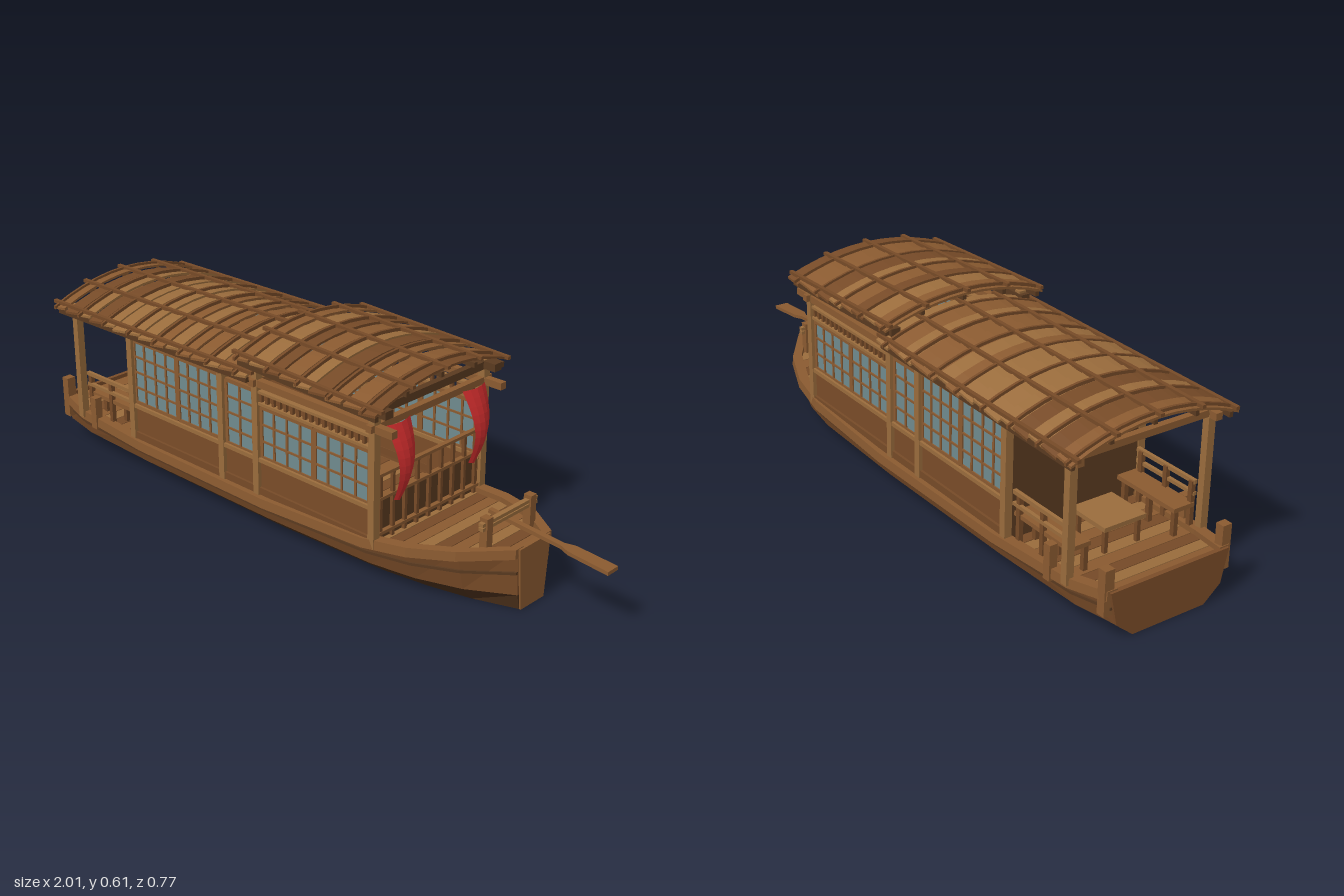
import * as THREE from 'three';

const mat = (color) => new THREE.MeshStandardMaterial({ color, flatShading: true, side: THREE.DoubleSide });
const WOOD = mat(0x8a5a30), DARK = mat(0x5a3a20), LIGHT = mat(0x9a6c3c), MID = mat(0x764a27);
const HULL = mat(0x7a4c28), KEEL = mat(0x4a2f1a), GLASS = mat(0x6f8a8e), RED = mat(0xc52a2a);
const SHADES = [WOOD, LIGHT, MID];

// small seeded random for hand-cut boards
let seed = 7;
const rnd = () => (seed = (seed * 16807) % 2147483647) / 2147483647;

// hull stations: u, half width at top, chine and bottom, sheer height
const STATIONS = [
  [-0.975, 0.195, 0.175, 0.12, 0.15], [-0.85, 0.222, 0.2, 0.14, 0.135], [-0.55, 0.238, 0.212, 0.155, 0.125],
  [0, 0.243, 0.215, 0.16, 0.125], [0.38, 0.234, 0.203, 0.145, 0.14], [0.52, 0.212, 0.18, 0.125, 0.155],
  [0.65, 0.162, 0.135, 0.095, 0.172], [0.775, 0.068, 0.06, 0.05, 0.188],
];
function station(u) {
  let i = 0;
  while (i < STATIONS.length - 2 && u > STATIONS[i + 1][0]) i++;
  const a = STATIONS[i], b = STATIONS[i + 1];
  const t = THREE.MathUtils.clamp((u - a[0]) / (b[0] - a[0]), 0, 1);
  return a.map((v, k) => v + (b[k] - v) * t);
}

// skin between cross-sections; closed rings get end caps
function loft(rings, closed = true) {
  const p = [], n = rings[0].length, tri = (...c) => c.forEach((q) => p.push(...q));
  for (let i = 0; i < rings.length - 1; i++) {
    for (let j = 0; j < (closed ? n : n - 1); j++) {
      const k = (j + 1) % n, a = rings[i], b = rings[i + 1];
      tri(a[j], a[k], b[k]);
      tri(a[j], b[k], b[j]);
    }
  }
  for (const r of [rings[0], [...rings[rings.length - 1]].reverse()])
    for (let j = 1; j < n - 1; j++) tri(r[0], r[j + 1], r[j]);
  const g = new THREE.BufferGeometry();
  g.setAttribute('position', new THREE.Float32BufferAttribute(p, 3));
  g.computeVertexNormals();
  return g;
}

export function createModel() {
  const model = new THREE.Group(), boat = new THREE.Group();
  boat.name = 'riverBoat';
  boat.position.set(-0.0066, 0, 0.0394);
  boat.rotation.y = -0.166;
  model.add(boat);

  const add = (name, geo, m) => {
    const mesh = new THREE.Mesh(geo, m);
    mesh.name = name;
    boat.add(mesh);
    return mesh;
  };
  const box = (name, u0, u1, y0, y1, z0, z1, m = WOOD) => {
    const b = add(name, new THREE.BoxGeometry(u1 - u0, y1 - y0, Math.abs(z1 - z0)), m);
    b.position.set((u0 + u1) / 2, (y0 + y1) / 2, (z0 + z1) / 2);
    return b;
  };

  // hull: dark bottom with planked sides above the chine
  add('hullBottom', loft(STATIONS.map(([u, , c, b]) =>
    [[u, 0.05, -c], [u, 0.004, -b], [u, 0.004, b], [u, 0.05, c]]), false), KEEL);
  for (const s of [-1, 1]) {
    add('hullSide', loft(STATIONS.map(([u, t, c, , y]) =>
      [[u, 0.05, s * c], [u, y, s * t], [u, y, s * (t - 0.015)], [u, 0.05, s * (c - 0.015)]])), HULL);
    add('gunwale', loft(STATIONS.map(([u, t, , , y]) =>
      [[u, y - 0.024, s * (t - 0.025)], [u, y + 0.004, s * (t - 0.025)], [u, y + 0.004, s * (t + 0.008)], [u, y - 0.024, s * (t + 0.01)]])), WOOD);
    add('rubbingStrake', loft(STATIONS.map(([u, t, c, , y]) => {
      const h = 0.05 + (y - 0.05) * 0.5, w = (t + c) / 2;
      return [[u, h - 0.004, s * w], [u, h + 0.004, s * w], [u, h + 0.004, s * (w + 0.007)], [u, h - 0.004, s * (w + 0.007)]];
    })), DARK);
  }
  add('transom', loft([-0.982, -0.968].map((u) =>
    [[u, 0.004, -0.12], [u, 0.05, -0.175], [u, 0.15, -0.197], [u, 0.15, 0.197], [u, 0.05, 0.175], [u, 0.004, 0.12]])), HULL);
  add('bowPlate', loft([0.765, 0.781].map((u) =>
    [[u, 0.004, -0.05], [u, 0.19, -0.066], [u, 0.19, 0.066], [u, 0.004, 0.05]])), WOOD);

  // deck planks follow the outline of the hull
  for (let i = 0; i < 40; i++) {
    const u0 = -0.968 + i * 0.0435, u1 = u0 + 0.041;
    const a = station(u0), b = station(u1);
    add('deckPlank', loft([[u0, a], [u1, b]].map(([u, s]) => {
      const y = s[4] - 0.012, w = s[1] - 0.014;
      return [[u, y - 0.012, -w], [u, y, -w], [u, y, w], [u, y - 0.012, w]];
    })), SHADES[i % 3]);
  }

  // windows: pane, frame and glazing bars
  const windowPanel = (s, u0, u1, y0, y1, cols, rows) => {
    const z = s * 0.222;
    box('pane', u0, u1, y0, y1, z - 0.002, z + 0.002, GLASS);
    for (let i = 0; i <= cols; i++) {
      const u = u0 + (u1 - u0) * i / cols, w = i % cols ? 0.0035 : 0.007;
      box('glazingBar', u - w, u + w, y0, y1, z - 0.006, z + 0.006);
    }
    for (let j = 0; j <= rows; j++) {
      const y = y0 + (y1 - y0) * j / rows, w = j % rows ? 0.003 : 0.006;
      box('glazingBar', u0, u1, y - w, y + w, z - 0.006, z + 0.006);
    }
  };

  for (const s of [-1, 1]) {
    // cabin side walls
    box('lowerWall', -0.585, 0.41, 0.12, 0.238, s * 0.212, s * 0.226, HULL);
    box('wallSill', -0.59, 0.415, 0.234, 0.246, s * 0.21, s * 0.236, LIGHT);
    box('wallFoot', -0.59, 0.415, 0.13, 0.152, s * 0.21, s * 0.234, MID);
    windowPanel(s, -0.575, -0.38, 0.25, 0.452, 4, 4);
    windowPanel(s, -0.375, -0.19, 0.25, 0.452, 4, 4);
    windowPanel(s, -0.165, -0.05, 0.246, 0.445, 2, 4);
    windowPanel(s, -0.02, 0.185, 0.246, 0.402, 4, 3);
    windowPanel(s, 0.19, 0.395, 0.246, 0.402, 4, 3);
    // lattice above the front windows
    box('latticeRail', -0.04, 0.41, 0.41, 0.418, s * 0.215, s * 0.234, LIGHT);
    box('latticeRail', -0.04, 0.41, 0.445, 0.453, s * 0.215, s * 0.234, LIGHT);
    for (let i = 0; i < 18; i++) {
      const u = -0.02 + i * 0.0245;
      box('latticeSlat', u - 0.005, u + 0.005, 0.415, 0.448, s * 0.219, s * 0.228, MID);
    }
    // posts and long beams
    for (const [u, top] of [[-0.845, 0.5], [-0.585, 0.5], [-0.18, 0.5], [-0.035, 0.545], [0.41, 0.54]])
      box('post', u - 0.011, u + 0.011, 0.12, top, s * 0.214, s * 0.238, LIGHT);
    box('sideBeam', -0.88, 0.48, 0.465, 0.486, s * 0.215, s * 0.237);
    box('upperBeam', -0.06, 0.46, 0.515, 0.538, s * 0.21, s * 0.24, DARK);
    // stern bollards and side benches
    box('sternPost', -0.972, -0.945, 0.08, 0.212, s * 0.18, s * 0.21, WOOD);
    box('sternPost', -0.79, -0.765, 0.1, 0.205, s * 0.215, s * 0.24, WOOD);
    box('benchSeat', -0.83, -0.6, 0.195, 0.208, s * 0.14, s * 0.21, WOOD);
    box('benchBack', -0.83, -0.6, 0.262, 0.274, s * 0.205, s * 0.216, LIGHT);
    box('benchBack', -0.83, -0.6, 0.228, 0.238, s * 0.205, s * 0.216, LIGHT);
    for (const u of [-0.82, -0.72, -0.62]) {
      box('benchLeg', u - 0.007, u + 0.007, 0.11, 0.2, s * 0.145, s * 0.159, MID);
      box('benchPost', u - 0.007, u + 0.007, 0.11, 0.27, s * 0.2, s * 0.214, MID);
    }
    // hanging banner, tapering down and bellied forward
    const flag = new THREE.PlaneGeometry(1, 1, 4, 10), p = flag.attributes.position;
    for (let i = 0; i < p.count; i++) {
      const x = p.getX(i), t = 0.5 - p.getY(i);
      p.setXYZ(i, 0.43 + 0.035 * Math.sin(t * Math.PI) + 0.012 * Math.cos(x * Math.PI),
        0.48 - 0.23 * t, s * 0.157 + x * (0.097 - 0.075 * t));
    }
    flag.computeVertexNormals();
    add('banner', flag, RED);
  }

  // cross beams, rear bulkhead and front fence
  for (const u of [-0.845, -0.585, -0.18, -0.035, 0.41])
    box('crossBeam', u - 0.01, u + 0.01, 0.468, 0.488, -0.25, 0.25);
  box('frontUpperBeam', 0.4, 0.42, 0.512, 0.535, -0.24, 0.24, DARK);
  box('rearBulkhead', -0.592, -0.578, 0.12, 0.485, -0.215, 0.215, DARK);
  for (const y of [0.15, 0.255, 0.325]) box('fenceRail', 0.403, 0.417, y, y + 0.009, -0.22, 0.22, WOOD);
  for (let i = 0; i < 9; i++) {
    const z = -0.2 + i * 0.05;
    box('fenceBaluster', 0.405, 0.415, 0.13, 0.33, z - 0.005, z + 0.005, MID);
  }
  box('fencePanel', 0.398, 0.403, 0.13, 0.26, -0.215, 0.215, DARK);

  // low table on the stern deck
  box('tableTop', -0.8, -0.66, 0.192, 0.205, -0.07, 0.07, LIGHT);
  for (const u of [-0.79, -0.68]) for (const z of [-0.06, 0.05]) box('tableLeg', u, u + 0.012, 0.11, 0.194, z, z + 0.012, MID);

  // two arched roofs of overlapping boards, with ribs below and battens above
  const roof = (u0, u1, c0, c1, rise, half, count) => {
    const y = (u, v) => c0 + (c1 - c0) * (u - u0) / (u1 - u0) - rise * (v / half) ** 2;
    const arch = (name, a, b, lift, tilt, thick, hw, m) => {
      const rings = [];
      for (let i = 0; i <= 10; i++) {
        const v = -hw + 2 * hw * i / 10, ya = y(a, v) + lift, yb = y(b, v) + lift + tilt;
        rings.push([[a, ya - thick, v], [a, ya, v], [b, yb, v], [b, yb - thick, v]]);
      }
      add(name, loft(rings), m);
    };
    const step = (u1 - u0) / count;
    for (let i = 0; i < count; i++) {
      const a = u0 + i * step;
      arch('roofBoard', a, a + step * (0.95 + 0.1 * rnd()), -0.012 + 0.004 * rnd(), 0.008, 0.007,
        half - 0.014 * rnd(), SHADES[Math.floor(rnd() * 3)]);
      if (i % 2) arch('roofRib', a - 0.006, a + 0.006, -0.018, 0, 0.01, half - 0.02, DARK);
      else arch('roofBatten', a + 0.01, a + 0.018, 0.002, 0, 0.01, half + 0.003, MID);
    }
    for (const f of [-0.93, -0.5, 0, 0.5, 0.93]) {
      const v = f * half, w = 0.006;
      add('longBatten', loft([u0 - 0.012, u1 + 0.012].map((u) =>
        [[u, y(u, v) - 0.006, v - w], [u, y(u, v) + 0.004, v - w], [u, y(u, v) + 0.004, v + w], [u, y(u, v) - 0.006, v + w]])), MID);
      add('purlin', loft([u0 + 0.01, u1 - 0.01].map((u) =>
        [[u, y(u, v) - 0.035, v - w], [u, y(u, v) - 0.02, v - w], [u, y(u, v) - 0.02, v + w], [u, y(u, v) - 0.035, v + w]])), DARK);
    }
  };
  roof(-0.9, -0.03, 0.556, 0.568, 0.06, 0.277, 15);
  roof(-0.08, 0.458, 0.612, 0.596, 0.056, 0.28, 9);

  // bow bitts with cross bar
  for (const z of [-0.093, 0.093]) box('bittPost', 0.675, 0.7, 0.14, 0.264, z - 0.012, z + 0.012);
  for (const y of [0.23, 0.243]) box('bittBar', 0.68, 0.695, y, y + 0.01, -0.117, 0.117, LIGHT);

  // steering oar over the bow
  add('oar', loft([[0.62, 0.008, 0.222], [0.86, 0.009, 0.204], [0.89, 0.02, 0.202], [1.018, 0.022, 0.192]].map(([u, w, y]) =>
    [[u, y - 0.005, -w - 0.008], [u, y + 0.006, -w - 0.008], [u, y + 0.006, w - 0.008], [u, y - 0.005, w - 0.008]])), WOOD);

  return model;
}
